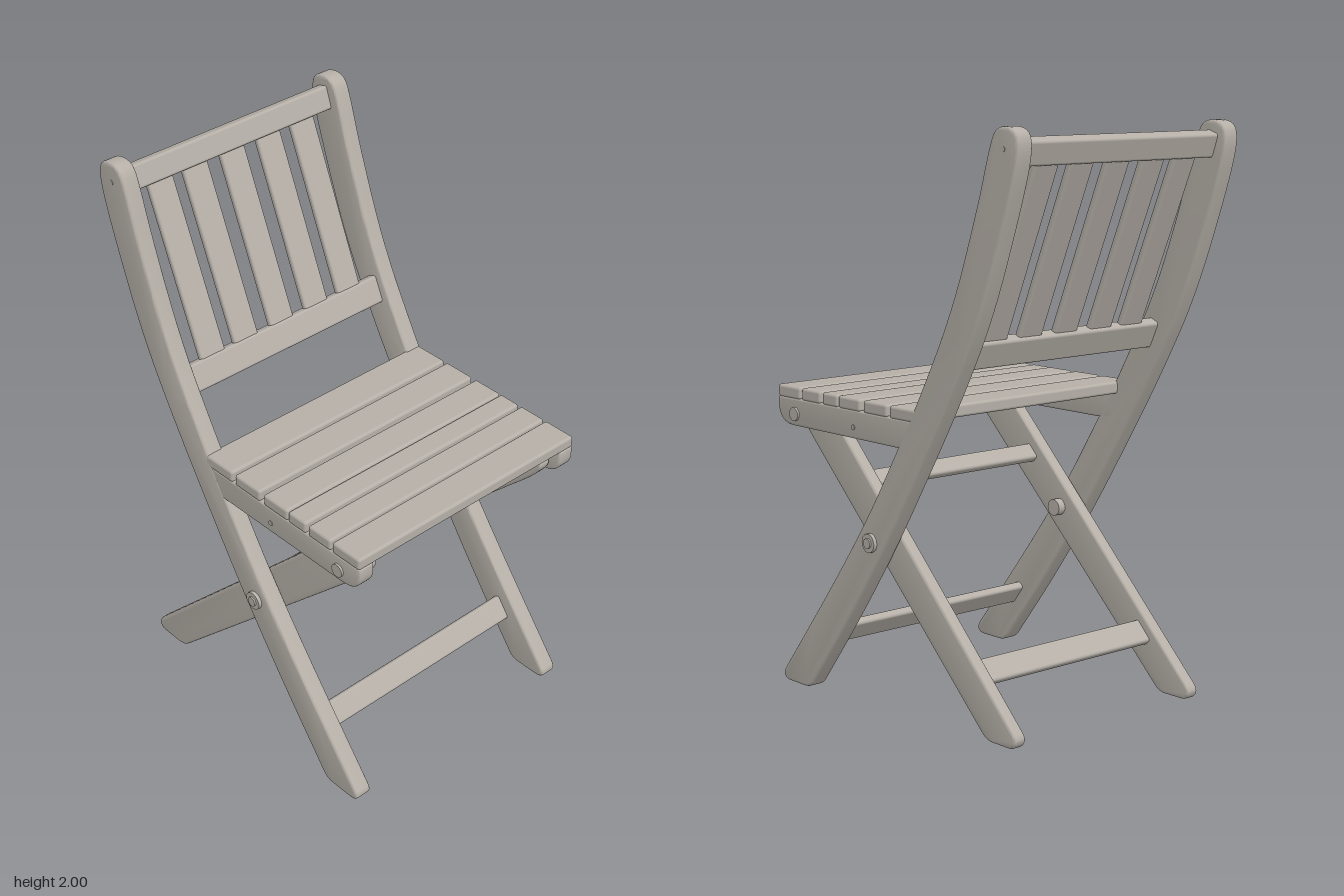
import * as THREE from 'three';
import { toCreasedNormals } from 'three/addons/utils/BufferGeometryUtils.js';
import { RoundedBoxGeometry } from 'three/addons/geometries/RoundedBoxGeometry.js';

const wood = new THREE.MeshStandardMaterial({ color: 0xb5afa7 });
wood.name = 'weathered grey wood';

// Closed outline of [z, y, cornerRadius] points, each corner softened by a curve
function roundedOutline(points) {
  const shape = new THREE.Shape();
  const n = points.length;
  points.forEach(([x, y, r], i) => {
    const corner = new THREE.Vector2(x, y);
    const toward = ([px, py]) => {
      const d = new THREE.Vector2(px, py).sub(corner);
      const len = d.length();
      return d.multiplyScalar(Math.min(r, len * 0.48) / len).add(corner);
    };
    const a = toward(points[(i + n - 1) % n]);
    const b = toward(points[(i + 1) % n]);
    if (i === 0) shape.moveTo(a.x, a.y);
    else shape.lineTo(a.x, a.y);
    shape.quadraticCurveTo(corner.x, corner.y, b.x, b.y);
  });
  shape.closePath();
  return shape;
}

// Side profile extruded across x from x0 to x1
function plank(points, x0, x1) {
  const bevel = 0.009;
  const geo = new THREE.ExtrudeGeometry(roundedOutline(points), {
    depth: x1 - x0 - 2 * bevel,
    bevelSize: bevel,
    bevelOffset: -bevel,
    bevelThickness: bevel,
    bevelSegments: 3,
    curveSegments: 6,
  });
  geo.rotateY(-Math.PI / 2);
  geo.translate(x1 - bevel, 0, 0);
  return toCreasedNormals(geo, 0.7);
}

export function createModel() {
  const chair = new THREE.Group();
  chair.name = 'foldingChair';

  const add = (name, geo, x = 0, y = 0, z = 0, tilt = 0) => {
    const mesh = new THREE.Mesh(geo, wood);
    mesh.name = name;
    mesh.position.set(x, y, z);
    mesh.rotation.x = tilt;
    chair.add(mesh);
    return mesh;
  };
  const bar = (name, w, h, d, x, y, z, tilt = 0) =>
    add(name, new RoundedBoxGeometry(w, h, d, 3, 0.01), x, y, z, tilt);

  // Curved side post: front leg running up into the backrest
  const post = [
    [0.47, 0, 0.03], [0.245, 0.29, 0.2], [0.04, 0.58, 0.2], [-0.125, 0.84, 0.2],
    [-0.285, 1.1, 0.2], [-0.45, 1.4, 0.2], [-0.585, 1.77, 0.2], [-0.63, 1.93, 0.1],
    [-0.615, 2.0, 0.05], [-0.52, 2.008, 0.06], [-0.485, 1.92, 0.1], [-0.44, 1.765, 0.2],
    [-0.31, 1.41, 0.2], [-0.12, 1.07, 0.2], [-0.035, 0.935, 0.2], [0.125, 0.68, 0.2],
    [0.325, 0.41, 0.2], [0.63, 0.025, 0.03], [0.61, 0, 0.02],
  ];
  // Straight leg that crosses the post on its inner side
  const crossLeg = [
    [-0.4, 0.005, 0.03], [0.555, 0.92, 0.06], [0.6, 0.985, 0.06], [0.55, 1.025, 0.04],
    [0.445, 1.025, 0.04], [-0.55, 0.04, 0.03], [-0.53, 0.005, 0.02],
  ];
  // Rail under the seat slats
  const seatRail = [
    [-0.1, 0.935, 0.01], [0.59, 0.935, 0.05], [0.63, 0.975, 0.05],
    [0.63, 1.035, 0.01], [-0.13, 1.035, 0.01],
  ];

  const bolt = (name, side, x0, x1, y, z, r) => {
    const geo = new THREE.CylinderGeometry(r, r, x1 - x0, 20);
    geo.rotateZ(Math.PI / 2);
    add(name, geo, (side * (x0 + x1)) / 2, y, z);
  };

  for (const side of [-1, 1]) {
    const label = side > 0 ? 'left' : 'right';
    const sided = (name, points, a, b) =>
      add(label + name, side > 0 ? plank(points, a, b) : plank(points, -b, -a));
    sided('SidePost', post, 0.43, 0.495);
    sided('CrossLeg', crossLeg, 0.38, 0.428);
    sided('SeatRail', seatRail, 0.43, 0.494);

    // Pivot hardware and small screws
    bolt(label + 'CrossBoltHead', side, 0.48, 0.508, 0.59, 0.11, 0.033);
    bolt(label + 'CrossBoltCap', side, 0.5, 0.514, 0.59, 0.11, 0.018);
    bolt(label + 'CrossBoltNut', side, 0.35, 0.4, 0.59, 0.11, 0.03);
    bolt(label + 'SeatBoltHead', side, 0.48, 0.502, 0.978, 0.53, 0.024);
    bolt(label + 'SeatBoltNut', side, 0.35, 0.4, 0.985, 0.53, 0.026);
    bolt(label + 'SeatScrew', side, 0.48, 0.497, 0.975, 0.2, 0.009);
    bolt(label + 'BackScrew', side, 0.48, 0.497, 1.935, -0.56, 0.009);
  }

  // Seat slats, given by their back and front edges
  const seatSlats = [
    [-0.133, 0.006], [0.02, 0.146], [0.165, 0.283],
    [0.288, 0.373], [0.386, 0.492], [0.501, 0.628],
  ];
  seatSlats.forEach(([z0, z1], i) =>
    bar(`seatSlat${i + 1}`, 0.99, 0.044, z1 - z0, 0, 1.052, (z0 + z1) / 2));

  // Backrest rails and upright slats
  bar('backTopRail', 0.88, 0.085, 0.05, 0, 1.925, -0.558, -0.33);
  bar('backLowerRail', 0.88, 0.1, 0.045, 0, 1.265, -0.29, -0.43);
  [-0.312, -0.165, -0.004, 0.156, 0.309].forEach((x, i) =>
    bar(`backSlat${i + 1}`, 0.104, 0.66, 0.026, x, 1.6, -0.428, -0.397));

  // Stretchers between the legs
  bar('frontStretcher', 0.88, 0.09, 0.032, 0, 0.205, 0.4, -0.65);
  bar('rearStretcher', 0.78, 0.09, 0.032, 0, 0.205, -0.315, 0.78);
  bar('upperStretcher', 0.78, 0.065, 0.035, 0, 0.768, 0.265, 0.78);

  return chair;
}
